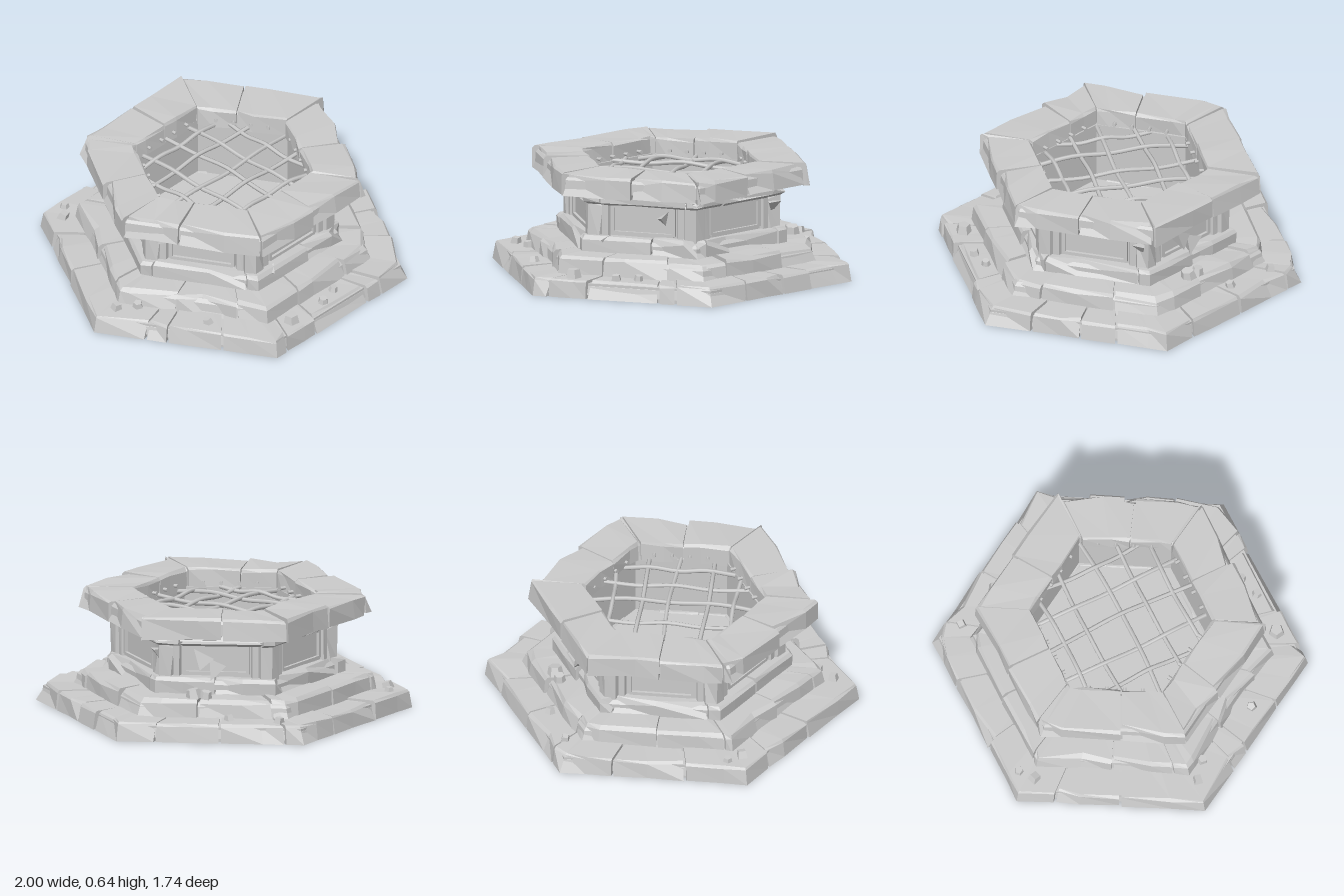
import * as THREE from 'three';

const stone = new THREE.MeshStandardMaterial({ color: 0xcccccc, flatShading: true });
const metal = new THREE.MeshStandardMaterial({ color: 0xcccccc });

let seed = 11;
const rand = () => (seed = (seed * 16807) % 2147483647) / 2147483647;
const jitter = (a) => (rand() - 0.5) * 2 * a;

// Point on a unit hexagon outline; t counts corners, from +x towards +z
function hexPoint(t) {
  const i = Math.floor(t + 1e-9), f = t - i;
  const a = (i * Math.PI) / 3, b = ((i + 1) * Math.PI) / 3;
  return [
    Math.cos(a) * (1 - f) + Math.cos(b) * f,
    Math.sin(a) * (1 - f) + Math.sin(b) * f,
  ];
}

// One stone: a counter-clockwise (radius, height) section swept from t0 to t1
function sweepStone(section, t0, t1, rough = 0, chip = 0) {
  const stops = [t0, t1];
  for (let c = Math.ceil(t0 + 0.01); c < t1 - 0.01; c++) stops.push(c);
  const mid = t0 + (t1 - t0) * (0.3 + 0.4 * rand());
  if (rough && stops.every((s) => Math.abs(s - mid) > 0.06)) stops.push(mid);
  stops.sort((a, b) => a - b);
  const top = Math.max(...section.map((p) => p[1]));
  const outer = Math.max(...section.map((p) => p[0]));
  const lift = jitter(rough * 0.6);
  const loops = stops.map((t) => {
    const [x, z] = hexPoint(t);
    const chipped = rand() < chip;
    return section.map(([r, y]) => {
      let rr = r + jitter(rough * 0.6);
      let yy = y > 0 ? y + jitter(rough * 0.4) : 0;
      if (y > top - 0.03) yy += lift;
      if (chipped && y > top - 0.03 && r > outer - 0.06) {
        rr -= 0.035;
        yy -= r > outer - 0.01 ? 0.03 : 0.004;
      }
      return [x * rr, yy, z * rr];
    });
  });
  const pos = [];
  const tri = (...p) => p.forEach((v) => pos.push(...v));
  const n = section.length;
  for (let j = 0; j + 1 < loops.length; j++) {
    const a = loops[j], b = loops[j + 1];
    for (let k = 0; k < n; k++) {
      const m = (k + 1) % n;
      tri(a[k], a[m], b[m]);
      tri(a[k], b[m], b[k]);
    }
  }
  const first = loops[0], last = loops[loops.length - 1];
  for (let k = 1; k + 1 < n; k++) {
    tri(first[0], first[k + 1], first[k]);
    tri(last[0], last[k], last[k + 1]);
  }
  const g = new THREE.BufferGeometry();
  g.setAttribute('position', new THREE.Float32BufferAttribute(pos, 3));
  g.computeVertexNormals();
  return g;
}

// Chamfered course section
const course = (inner, outer, y0, y1, c, batter = 0) => [
  [inner, y0], [outer, y0], [outer - batter, y1 - c], [outer - batter - c, y1], [inner + c, y1], [inner, y1 - c],
];

function add(parent, name, geometry, material = stone) {
  const mesh = new THREE.Mesh(geometry, material);
  mesh.name = name;
  parent.add(mesh);
  return mesh;
}

// Course of stones split at the joints, over a slightly smaller core
function stoneRing(name, section, joints, { rough = 0.012, chip = 0.25, gap = 0.014 } = {}) {
  const group = new THREE.Group();
  group.name = name;
  joints.forEach((t, i) => {
    const end = i + 1 < joints.length ? joints[i + 1] : joints[0] + 6;
    add(group, name + 'Stone', sweepStone(section, t + gap / 2, end - gap / 2, rough, chip));
  });
  const n = section.length;
  const cr = section.reduce((s, p) => s + p[0], 0) / n;
  const cy = section.reduce((s, p) => s + p[1], 0) / n;
  const core = section.map(([r, y]) => [r - Math.sign(r - cr) * 0.022, y - Math.sign(y - cy) * 0.02]);
  add(group, name + 'Core', sweepStone(core, 0, 6));
  return group;
}

function hexSlab(parent, name, r, y0, y1) {
  const g = new THREE.CylinderGeometry(r, r, y1 - y0, 6).rotateY(Math.PI / 6);
  return add(parent, name, g.translate(0, (y0 + y1) / 2, 0));
}

// Small worn stone with cut corners
function rubble(parent, x, y, z, size) {
  const g = new THREE.CylinderGeometry(size * 0.75, size, size * 1.1, 4 + Math.floor(rand() * 3));
  const m = add(parent, 'looseStone', g);
  m.position.set(x, y + size * 0.35, z);
  m.rotation.set(jitter(0.25), rand() * 6, jitter(0.25));
}

export function createModel() {
  seed = 11;
  const model = new THREE.Group();
  model.name = 'hexagonalWell';

  // Stepped base
  hexSlab(model, 'baseSlab', 0.965, 0, 0.08);
  model.add(stoneRing('lowerStep', course(0.55, 1.0, 0, 0.098, 0.012, 0.012),
    [0.28, 0.48, 0.75, 1.2, 1.3, 1.7, 1.92, 2.3, 2.6, 2.72, 3.45, 3.8, 4.33, 4.72, 5.1, 5.45, 5.8],
    { rough: 0.009 }));
  model.add(stoneRing('upperStep', course(0.46, 0.815, 0.07, 0.19, 0.02, 0.01),
    [0.3, 0.8, 1.25, 1.7, 2.2, 2.62, 3.1, 3.5, 4.05, 4.5, 5.1, 5.6], { chip: 0.3 }));
  hexSlab(model, 'wellFloor', 0.55, 0.08, 0.19);

  // Drum with bands above and below
  add(model, 'drumWall', sweepStone([[0.49, 0.15], [0.565, 0.15], [0.565, 0.53], [0.49, 0.53]], 0, 6));
  model.add(stoneRing('lowerBand', course(0.5, 0.645, 0.19, 0.275, 0.018),
    [0.1, 0.9, 1.4, 2.1, 2.9, 3.5, 4.1, 4.9, 5.5], { rough: 0.008 }));
  model.add(stoneRing('upperBand', [[0.5, 0.445], [0.605, 0.445], [0.64, 0.462], [0.64, 0.492], [0.62, 0.515], [0.5, 0.515]],
    [0.15, 0.7, 1.1, 1.85, 2.15, 2.8, 3.2, 3.9, 4.5, 5.1, 5.8], { rough: 0.009 }));

  // Corner posts and framed recessed panels
  for (let i = 0; i < 6; i++) {
    const post = course(0.52, 0.605, 0.26, 0.46, 0.008);
    add(model, 'cornerPost', sweepStone(post, i + 0.9, i + 1.1, 0.006, 0.2));
    for (const [a, b] of [[0.115, 0.17], [0.83, 0.885]])
      add(model, 'sidePost', sweepStone(course(0.52, 0.59, 0.26, 0.46, 0.006), i + a, i + b, 0.005));
    const side = new THREE.Group();
    side.name = 'panelFrame';
    side.rotation.y = (i * Math.PI) / 3;
    for (const s of [-1, 1]) {
      add(side, 'frameUpright', new THREE.BoxGeometry(0.02, 0.15, 0.025).translate(s * 0.17, 0.365, 0.492));
      add(side, 'frameRail', new THREE.BoxGeometry(0.34, 0.018, 0.025).translate(0, 0.365 + s * 0.073, 0.492));
    }
    model.add(side);
  }

  // Broken slivers lying against the drum: x, y, z, size
  for (const [x, y, z, s] of [[0.11, 0.38, 0.49, 0.05], [0.5, 0.38, -0.2, 0.06], [0.46, 0.32, -0.27, 0.06],
    [-0.56, 0.42, 0.08, 0.045], [0.57, 0.4, 0.03, 0.045], [-0.2, 0.25, 0.53, 0.04]]) {
    const m = add(model, 'brokenSliver', new THREE.TetrahedronGeometry(s));
    m.position.set(x, y, z);
    m.scale.y = 1.4;
    m.rotation.set(rand() * 3, rand() * 3, rand() * 3);
  }

  // Heavy rim
  const rim = stoneRing('rim', course(0.485, 0.775, 0.512, 0.626, 0.014, 0.004),
    [0.02, 0.55, 1.03, 1.5, 2.02, 2.6, 3.0, 3.45, 4.06, 4.5, 5.0, 5.45], { rough: 0.014, chip: 0.3 });
  rim.position.x = -0.012;
  model.add(rim);

  // Bent, interlaced grate
  const bars = [-0.34, -0.18, 0, 0.17, 0.33];
  const halfLength = (c, alongZ) => (alongZ
    ? Math.min(0.425, (0.49 - Math.abs(c)) * 1.732)
    : 0.49 - Math.abs(c) / 1.732);
  for (const alongZ of [true, false]) {
    bars.forEach((c, i) => {
      const h = halfLength(c, alongZ);
      const bend = [0.012, -0.012, 0.02, -0.01, -0.014][i];
      const points = [-1, -0.5, 0, 0.5, 1].map((u, k) => {
        const across = c + bend * (1 - u * u);
        const y = 0.525 + 0.012 * (1 - u * u) + ((i + k + (alongZ ? 1 : 0)) % 2 ? 0.008 : -0.008);
        return alongZ ? new THREE.Vector3(across, y, u * h) : new THREE.Vector3(u * h, y, across);
      });
      const path = new THREE.CatmullRomCurve3(points);
      add(model, 'grateBar', new THREE.TubeGeometry(path, 16, 0.012, 6), metal);
    });
  }

  // Bolts around the well mouth
  for (let i = 0; i < 6; i++) {
    for (const f of [0.2, 0.4, 0.6, 0.8]) {
      const [x, z] = hexPoint(i + f);
      const bolt = add(model, 'bolt', new THREE.CylinderGeometry(0.009, 0.011, 0.03, 6).rotateX(Math.PI / 2), metal);
      bolt.position.set(x * 0.478, 0.555, z * 0.478);
      bolt.rotation.y = Math.PI / 2 - ((i + 0.5) * Math.PI) / 3;
    }
  }

  // Loose stones on the steps: x, z, size
  for (const [x, z, s] of [[-0.46, -0.74, 0.036], [-0.39, -0.8, 0.028], [0.49, -0.7, 0.03], [0.6, -0.45, 0.03],
    [-0.86, 0.03, 0.032], [-0.77, 0.1, 0.03], [-0.62, 0.47, 0.03], [-0.3, 0.78, 0.045], [-0.06, 0.785, 0.028], [0.055, 0.75, 0.026]])
    rubble(model, x, 0.1, z, s);
  for (const [x, z, s] of [[0.6, -0.22, 0.045], [0.57, -0.28, 0.035]]) rubble(model, x, 0.195, z, s);

  return model;
}
